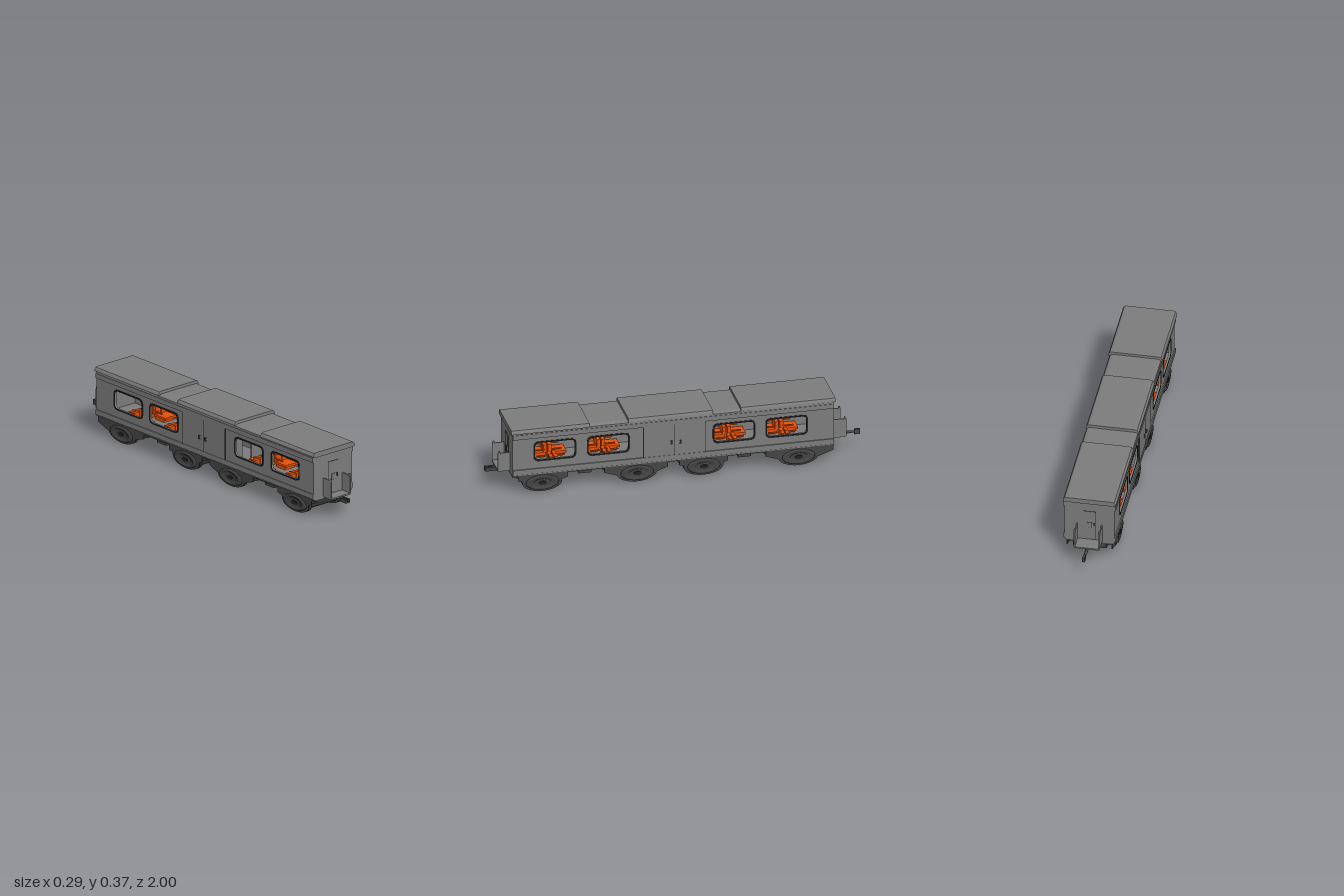
import * as THREE from 'three';

const mat = (name, color, side = THREE.FrontSide) => {
  const m = new THREE.MeshStandardMaterial({ color, side });
  m.name = name;
  return m;
};

export function createModel() {
  const grey = mat('bodyGrey', 0x7c7c7c);
  const dark = mat('undercarriageGrey', 0x444444);
  const black = mat('seamBlack', 0x222222);
  const orange = mat('seatOrange', 0xff5a0a);
  const yellow = mat('rackYellow', 0xc89600);
  const model = new THREE.Group();
  model.name = 'railCarriage';

  const add = (name, geo, m, x = 0, y = 0, z = 0, parent = model) => {
    const mesh = new THREE.Mesh(geo, m);
    mesh.name = name;
    mesh.position.set(x, y, z);
    parent.add(mesh);
    return mesh;
  };
  // Box given by its minimum and maximum on each axis
  const box = (name, m, x0, x1, y0, y1, z0, z1, parent) =>
    add(name, new THREE.BoxGeometry(x1 - x0, y1 - y0, z1 - z0), m,
      (x0 + x1) / 2, (y0 + y1) / 2, (z0 + z1) / 2, parent);
  // Outline in (z, y) extruded sideways from x0 to x1
  const sideExtrude = (name, shape, m, x0, x1) => {
    const g = new THREE.ExtrudeGeometry(shape, { depth: x1 - x0, bevelEnabled: false, curveSegments: 6 });
    return add(name, g.rotateY(-Math.PI / 2), m, x1, 0, 0);
  };
  // Outline in (x, y) extruded lengthwise from z0 to z1
  const longExtrude = (name, points, m, z0, z1) => {
    const s = new THREE.Shape(points.map(p => new THREE.Vector2(...p)));
    return add(name, new THREE.ExtrudeGeometry(s, { depth: z1 - z0, bevelEnabled: false }), m, 0, 0, z0);
  };
  const roundRect = (p, x0, x1, y0, y1, r) => {
    p.moveTo(x0 + r, y0);
    p.lineTo(x1 - r, y0); p.quadraticCurveTo(x1, y0, x1, y0 + r);
    p.lineTo(x1, y1 - r); p.quadraticCurveTo(x1, y1, x1 - r, y1);
    p.lineTo(x0 + r, y1); p.quadraticCurveTo(x0, y1, x0, y1 - r);
    p.lineTo(x0, y0 + r); p.quadraticCurveTo(x0, y0, x0 + r, y0);
    return p;
  };

  const Z0 = -0.83, Z1 = 0.88;
  const windows = [[0.55, 0.762], [0.265, 0.477], [-0.405, -0.193], [-0.685, -0.473]];

  // Side walls with window openings and raised window frames
  for (const s of [-1, 1]) {
    const span = (a, b) => s > 0 ? [a, b] : [-b, -a];
    const wall = new THREE.Shape();
    wall.moveTo(Z0, 0.108); wall.lineTo(Z1, 0.108);
    wall.lineTo(Z1, 0.345); wall.lineTo(Z0, 0.345); wall.closePath();
    for (const [a, b] of windows) {
      wall.holes.push(roundRect(new THREE.Path(), a, b, 0.187, 0.284, 0.025));
      const frame = roundRect(new THREE.Shape(), a - 0.008, b + 0.008, 0.179, 0.292, 0.03);
      frame.holes.push(roundRect(new THREE.Path(), a, b, 0.187, 0.284, 0.025));
      sideExtrude('windowFrame', frame, black, ...span(0.132, 0.135));
    }
    sideExtrude('sideWall', wall, grey, ...span(0.122, 0.132));
    box('lowerRail', grey, ...span(0.131, 0.138), 0.113, 0.14, Z0, Z1);
    box('upperRail', grey, ...span(0.131, 0.139), 0.314, 0.34, Z0, Z1);

    // Central double door with seams and handles
    box('sideDoor', grey, ...span(0.131, 0.136), 0.14, 0.314, -0.145, 0.185);
    for (const z of [-0.145, 0.02, 0.185])
      box('doorSeam', black, ...span(0.132, 0.1365), 0.14, 0.314, z - 0.0015, z + 0.0015);
    for (const z of [-0.012, 0.036]) {
      box('handleGrip', dark, ...span(0.141, 0.144), 0.203, 0.222, z - 0.004, z + 0.004);
      for (const y of [0.203, 0.219])
        box('handleMount', dark, ...span(0.134, 0.142), y, y + 0.003, z - 0.004, z + 0.004);
    }
    // Luggage racks
    box('luggageRack', yellow, ...span(0.075, 0.122), 0.297, 0.303, 0.25, 0.78);
    box('luggageRack', yellow, ...span(0.075, 0.122), 0.297, 0.303, -0.7, -0.18);
  }

  // Floor, base roof and raised roof panels
  box('floor', grey, -0.128, 0.128, 0.103, 0.116, Z0, Z1);
  box('underFrame', dark, -0.122, 0.122, 0.095, 0.103, Z0, Z1);
  const roofLine = (w, y0, y1) => [[-w + 0.012, y0], [w - 0.012, y0], [w, y0 + 0.005],
    [w - 0.002, y0 + 0.013], [w - 0.009, y1 - 0.003], [w - 0.02, y1],
    [-w + 0.02, y1], [-w + 0.009, y1 - 0.003], [-w + 0.002, y0 + 0.013], [-w, y0 + 0.005]];
  longExtrude('baseRoof', roofLine(0.136, 0.335, 0.357), grey, Z0, Z1);
  longExtrude('frontRoofPanel', roofLine(0.144, 0.343, 0.371), grey, 0.473, 0.89);
  longExtrude('middleRoofPanel', roofLine(0.14, 0.346, 0.373), grey, -0.185, 0.265);
  longExtrude('rearRoofPanel', roofLine(0.14, 0.346, 0.373), grey, -0.838, -0.335);

  // Interior partitions beside the door section
  for (const z of [-0.16, 0.2]) {
    box('partition', grey, -0.122, -0.03, 0.116, 0.335, z - 0.004, z + 0.004);
    box('partition', grey, 0.03, 0.122, 0.116, 0.335, z - 0.004, z + 0.004);
  }

  // Back-to-back seats at each window, either side of the aisle
  for (const [a, b] of windows) for (const s of [-1, 1]) for (const d of [-1, 1]) {
    const seat = new THREE.Group();
    seat.name = 'seat';
    seat.position.set(s * 0.074, 0, (a + b) / 2);
    seat.rotation.y = d > 0 ? 0 : Math.PI;
    model.add(seat);
    box('seatBase', orange, -0.034, 0.034, 0.116, 0.133, 0.015, 0.085, seat);
    box('seatCushion', orange, -0.039, 0.039, 0.133, 0.145, 0.01, 0.1, seat);
    for (const x of [-0.02, 0.02])
      box('seatBack', orange, x - 0.018, x + 0.018, 0.14, 0.186, 0.003, 0.022, seat);
    for (const x of [-0.038, 0.038])
      box('armrest', orange, x - 0.004, x + 0.004, 0.158, 0.164, 0.015, 0.075, seat);
  }

  // End walls, end doors, platforms and handrails
  const ends = [[Z1, 1, 0.945], [Z0, -1, -0.912]];
  for (const [z, d, tip] of ends) {
    const end = new THREE.Group();
    end.name = d > 0 ? 'frontEnd' : 'rearEnd';
    end.position.z = z;
    end.rotation.y = d > 0 ? 0 : Math.PI;
    model.add(end);
    const len = Math.abs(tip - z);
    box('endWall', grey, -0.13, 0.13, 0.105, 0.345, -0.012, 0.001, end);
    box('doorOutline', black, -0.0345, 0.0345, 0.1235, 0.2965, 0, 0.002, end);
    box('endDoor', grey, -0.033, 0.033, 0.125, 0.295, 0, 0.004, end);
    box('doorWindowOutline', black, -0.0135, 0.0135, 0.1925, 0.2265, 0.003, 0.005, end);
    box('doorWindow', grey, -0.012, 0.012, 0.194, 0.225, 0.003, 0.006, end);
    box('doorHandle', dark, 0.023, 0.026, 0.207, 0.226, 0.003, 0.01, end);
    box('platform', grey, -0.066, 0.066, 0.11, 0.118, 0, len, end);
    for (const s of [-1, 1]) {
      const x = s * 0.065;
      box('platformSide', grey, x - 0.003, x + 0.003, 0.115, 0.215, 0, len, end);
      const cap = new THREE.CylinderGeometry(0.004, 0.007, 0.016, 8);
      add('railCap', cap, grey, x, 0.218, len - 0.008, end);
    }
  }

  // Couplers
  box('frontCouplerBar', dark, -0.016, 0.016, 0.098, 0.112, 0.86, 0.96);
  for (const x of [-0.01, 0.01])
    box('frontCouplerJaw', dark, x - 0.005, x + 0.005, 0.093, 0.113, 0.94, 1.0);
  const bar = new THREE.CylinderGeometry(0.005, 0.014, 0.16, 8).rotateX(-Math.PI / 2);
  add('rearCouplerBar', bar, dark, 0, 0.104, -0.9);
  box('rearCouplerHead', dark, -0.007, 0.007, 0.09, 0.118, -1.0, -0.97);

  // Wheel sets: wide oval tyres, thin flanges, hubs and a broad centre drum
  const oval = (name, r, w, m, x, parent) => {
    const g = new THREE.CylinderGeometry(r, r, w, 32).rotateZ(Math.PI / 2);
    return add(name, g, m, x, 0, 0, parent);
  };
  const tyre = new THREE.LatheGeometry([[0.03, -0.02], [0.082, -0.02], [0.088, -0.013], [0.088, 0.013],
    [0.082, 0.02], [0.06, 0.02], [0.056, 0.014], [0.03, 0.014]].map(p => new THREE.Vector2(...p)), 32)
    .rotateZ(-Math.PI / 2);
  for (const z of [0.72, 0.215, -0.14, -0.645]) {
    const set = new THREE.Group();
    set.name = 'wheelSet';
    set.position.set(0, 0.051, z);
    set.scale.y = 0.48;
    model.add(set);
    oval('centreDrum', 0.086, 0.18, dark, 0, set);
    for (const s of [-1, 1]) {
      const t = add('tyre', tyre, dark, s * 0.109, 0, 0, set);
      if (s < 0) t.rotation.y = Math.PI;
      oval('innerFlange', 0.106, 0.003, dark, s * 0.099, set);
      oval('outerFlange', 0.106, 0.003, dark, s * 0.117, set);
      oval('wheelDisc', 0.045, 0.038, dark, s * 0.107, set);
      oval('hubCap', 0.022, 0.046, black, s * 0.107, set);
    }
  }

  // Tapered bogie frames above the wheels
  for (const [a, b] of [[0.585, 0.85], [0.05, 0.39], [-0.27, -0.01], [-0.83, -0.47]]) {
    const s = new THREE.Shape([[a, 0.105], [a, 0.07], [a + 0.08, 0.042], [b - 0.08, 0.042], [b, 0.07], [b, 0.105]]
      .map(p => new THREE.Vector2(...p)));
    sideExtrude('bogieFrame', s, dark, -0.088, 0.088);
    for (const x of [-0.122, 0.116]) sideExtrude('bogieSide', s, dark, x, x + 0.006);
  }
  // Equipment boxes under the floor
  for (const z of [0.485, -0.365])
    box('equipmentBox', dark, -0.09, 0.09, 0.065, 0.1, z - 0.035, z + 0.035);

  return model;
}
